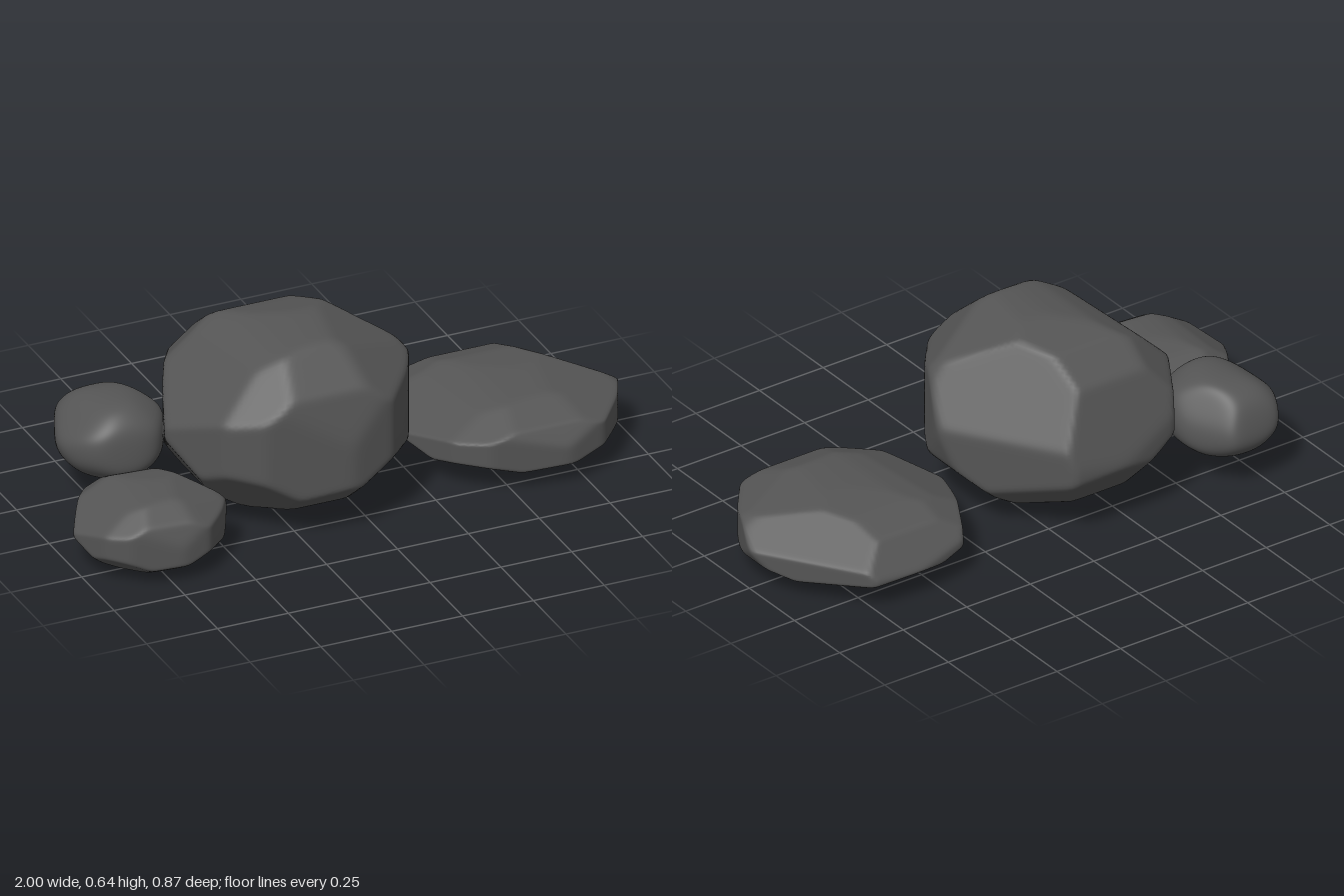
import * as THREE from 'three';
import { mergeVertices } from 'three/addons/utils/BufferGeometryUtils.js';

// Facets of the shared boulder form: each plane is a*x + b*y + c*z = 1
const FACETS = [
  // top, and slopes around it
  [0, 0.98, -0.3], [0, 0.99, 0.03], [-0.27, 1, 0], [0, 0.62, 0.72], [0, 0.74, -0.74],
  [-0.65, 0.9, 0], [-0.97, 0.69, 0.05], [0.52, 0.85, 0.12], [0.87, 0.45, 0],
  // right side
  [1, 0.5, -0.65], [1.01, 0, -0.64], [1, 0.03, 0], [1, 0, 0.2], [0.98, 0, 0.41], [0.85, 0, 0.62],
  // front, left and back
  [0.29, 0, 0.95], [0, 0.2, 1], [-0.18, 0, 1.03], [-0.62, 0, 0.78], [-0.96, 0, 0.41],
  [-1.03, 0, -0.37], [-0.98, 0, -0.49], [-0.18, 0, -0.98], [0.06, 0, -1], [0, 0.3, -1.08],
  // underside
  [0, -1, 0.25], [0, -1, -0.34], [-0.2, -1, 0], [1, -0.2, 0], [0.81, -0.59, 0], [0.58, -0.79, 0],
  [-0.95, -0.45, 0], [-0.62, -0.77, 0], [0, -0.64, 0.68], [0, -0.51, -0.83],
  // corner cuts
  [0.58, 0.58, 0.53], [-0.6, 0.58, 0.55], [-0.65, 0.55, -0.55],
  [0.58, -0.56, 0.58], [-0.6, -0.56, 0.58], [0.58, -0.56, -0.58], [-0.6, -0.56, -0.6],
].map((f) => new THREE.Vector3(...f));

// Sphere pushed onto the facets; lower sharpness wears the edges rounder.
// The turned rock is fitted to the box between its low and high corners.
function boulderGeometry(low, high, sharpness, turn) {
  let geo = new THREE.IcosahedronGeometry(1, 30);
  geo.deleteAttribute('normal');
  geo.deleteAttribute('uv');
  geo = mergeVertices(geo, 1e-5);
  const pos = geo.attributes.position;
  const dir = new THREE.Vector3();
  for (let i = 0; i < pos.count; i++) {
    dir.fromBufferAttribute(pos, i).normalize();
    let sum = 0;
    for (const f of FACETS) sum += Math.max(0, f.dot(dir)) ** sharpness;
    dir.multiplyScalar(sum ** (-1 / sharpness));
    pos.setXYZ(i, dir.x, dir.y, dir.z);
  }
  geo.rotateY(turn);
  geo.center();
  const size = geo.boundingBox.getSize(new THREE.Vector3()).toArray();
  geo.scale(...size.map((s, i) => (high[i] - low[i]) / s));
  geo.computeVertexNormals();
  return geo;
}

export function createModel() {
  const group = new THREE.Group();
  group.name = 'rockCluster';
  const material = new THREE.MeshStandardMaterial({ color: 0x555555 });

  // name, low corner, high corner, sharpness, turn
  const rocks = [
    ['largeBoulder', [-0.6, 0.03, -0.4], [0.26, 0.64, 0.375], 90, 0],
    ['flatRock', [0.23, 0.017, -0.37], [1, 0.263, 0.34], 90, 0],
    ['lowRock', [-1, 0, -0.04], [-0.48, 0.26, 0.43], 60, -0.1],
    ['smallRock', [-0.86, 0.09, -0.435], [-0.5, 0.36, -0.06], 14, 0],
  ];
  for (const [name, low, high, sharpness, turn] of rocks) {
    const mesh = new THREE.Mesh(boulderGeometry(low, high, sharpness, turn), material);
    mesh.name = name;
    mesh.position.set(...low.map((v, i) => (high[i] + v) / 2));
    group.add(mesh);
  }
  return group;
}
